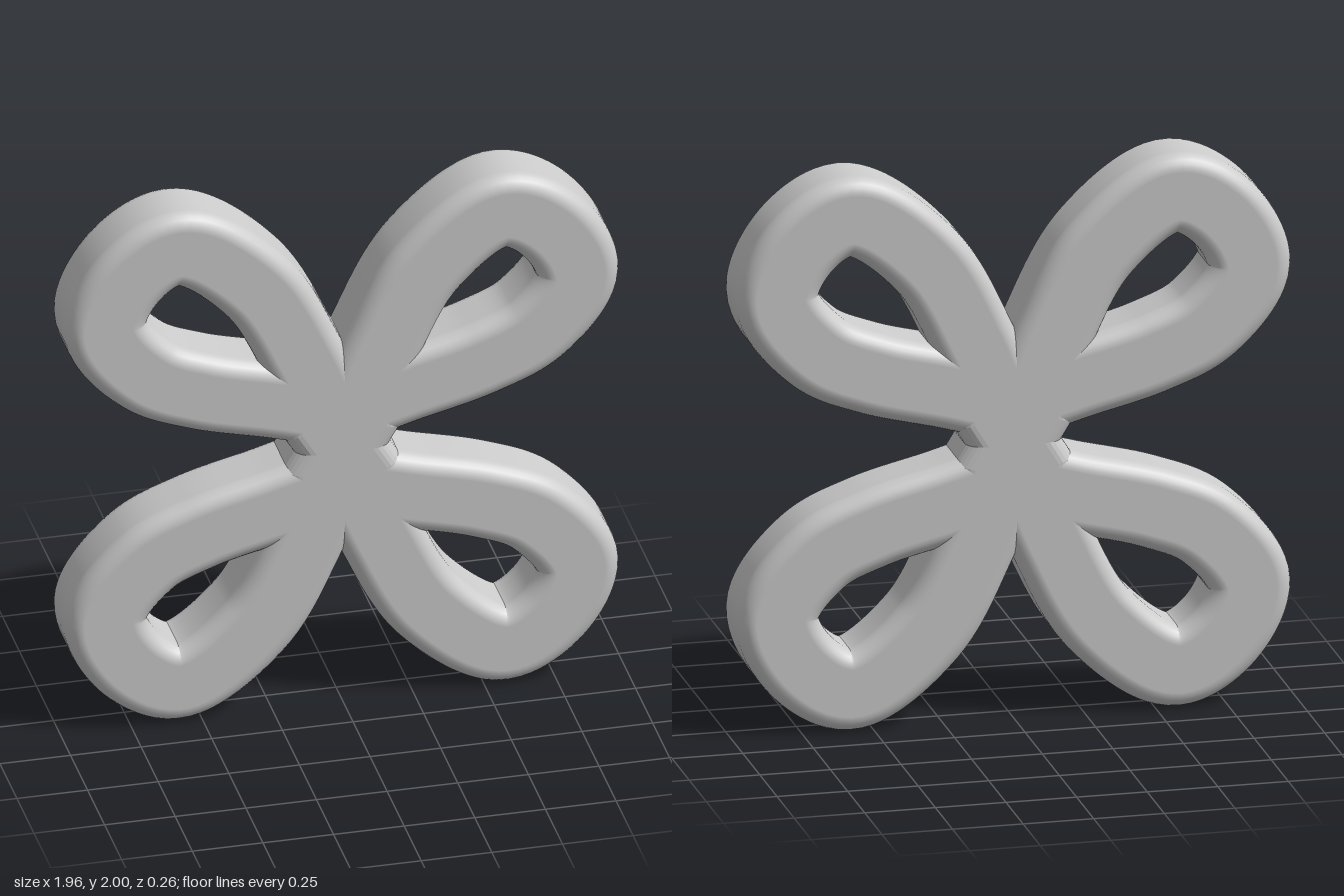
import * as THREE from 'three';

const HALF_DEPTH = 0.13, HALF_WIDTH = 0.145, ROUND = 0.06;

// Rounded-rectangle section: [across, depth, normalAcross, normalDepth]
function roundedSection(steps = 6) {
  const section = [];
  [[1, 1], [-1, 1], [-1, -1], [1, -1]].forEach(([su, sw], corner) => {
    for (let i = 0; i <= steps; i++) {
      const a = (corner + i / steps) * Math.PI / 2;
      const c = Math.cos(a), s = Math.sin(a);
      section.push([su * (HALF_WIDTH - ROUND) + ROUND * c, sw * (HALF_DEPTH - ROUND) + ROUND * s, c, s]);
    }
  });
  return section;
}

// Sweep the section along a flat path in the xy plane, with smooth normals
function sweepBand(curve, segments) {
  const section = roundedSection(), m = section.length;
  const positions = [], normals = [], index = [];
  for (let i = 0; i <= segments; i++) {
    const p = curve.getPointAt(i / segments), t = curve.getTangentAt(i / segments);
    for (const [u, w, nu, nw] of section) {
      positions.push(p.x - t.y * u, p.y + t.x * u, w);
      normals.push(-t.y * nu, t.x * nu, nw);
    }
  }
  for (let i = 0; i < segments; i++) {
    for (let j = 0; j < m; j++) {
      const a = i * m + j, b = i * m + (j + 1) % m;
      index.push(a, b, a + m, b, b + m, a + m);
    }
  }
  const geometry = new THREE.BufferGeometry();
  geometry.setAttribute('position', new THREE.Float32BufferAttribute(positions, 3));
  geometry.setAttribute('normal', new THREE.Float32BufferAttribute(normals, 3));
  geometry.setIndex(index);
  return geometry;
}

export function createModel() {
  const model = new THREE.Group();
  model.name = 'fourPetalFlower';
  model.position.y = 1;
  const material = new THREE.MeshStandardMaterial({ color: 0xcccccc });

  // Petal: a looped band, given relative to the flower's centre
  const path = new THREE.CatmullRomCurve3([
    [0.01, 0.05], [0.135, 0.365], [0.305, 0.67], [0.57, 0.855], [0.745, 0.765],
    [0.835, 0.57], [0.69, 0.37], [0.5, 0.28], [0.22, 0.205], [0, 0.14],
  ].map(([x, y]) => new THREE.Vector3(x, y, 0)), false, 'centripetal');
  const petalGeometry = sweepBand(path, 120);

  // Half turns about each axis give the four mirrored petals
  const petals = [
    ['upperLeftPetal', 0, 0, 0],
    ['upperRightPetal', 0, Math.PI, 0],
    ['lowerLeftPetal', Math.PI, 0, 0],
    ['lowerRightPetal', 0, 0, Math.PI],
  ];
  for (const [name, rx, ry, rz] of petals) {
    const petal = new THREE.Mesh(petalGeometry, material);
    petal.name = name;
    petal.rotation.set(rx, ry, rz);
    model.add(petal);
  }

  // Hub: notched, rounded block joining the petals
  const quarter = [[0.17, 0], [0.21, 0.065], [0.2, 0.2], [0, 0.3]];
  const right = [...quarter.slice(1).reverse(), quarter[0],
    ...quarter.slice(1).map(([x, y]) => [x, -y])];
  const left = right.slice(1, -1).reverse().map(([x, y]) => [-x, y]);
  const outline = [...right, ...left].map(([x, y]) => new THREE.Vector2(x, y));
  const hubGeometry = new THREE.ExtrudeGeometry(new THREE.Shape(outline), {
    depth: 2 * (HALF_DEPTH - ROUND), bevelEnabled: true, bevelThickness: ROUND,
    bevelSize: ROUND, bevelOffset: -ROUND, bevelSegments: 6,
  });
  hubGeometry.translate(0, 0, ROUND - HALF_DEPTH);
  const hub = new THREE.Mesh(hubGeometry, material);
  hub.name = 'hub';
  model.add(hub);

  const root = new THREE.Group();
  root.name = 'flower';
  root.add(model);
  return root;
}
